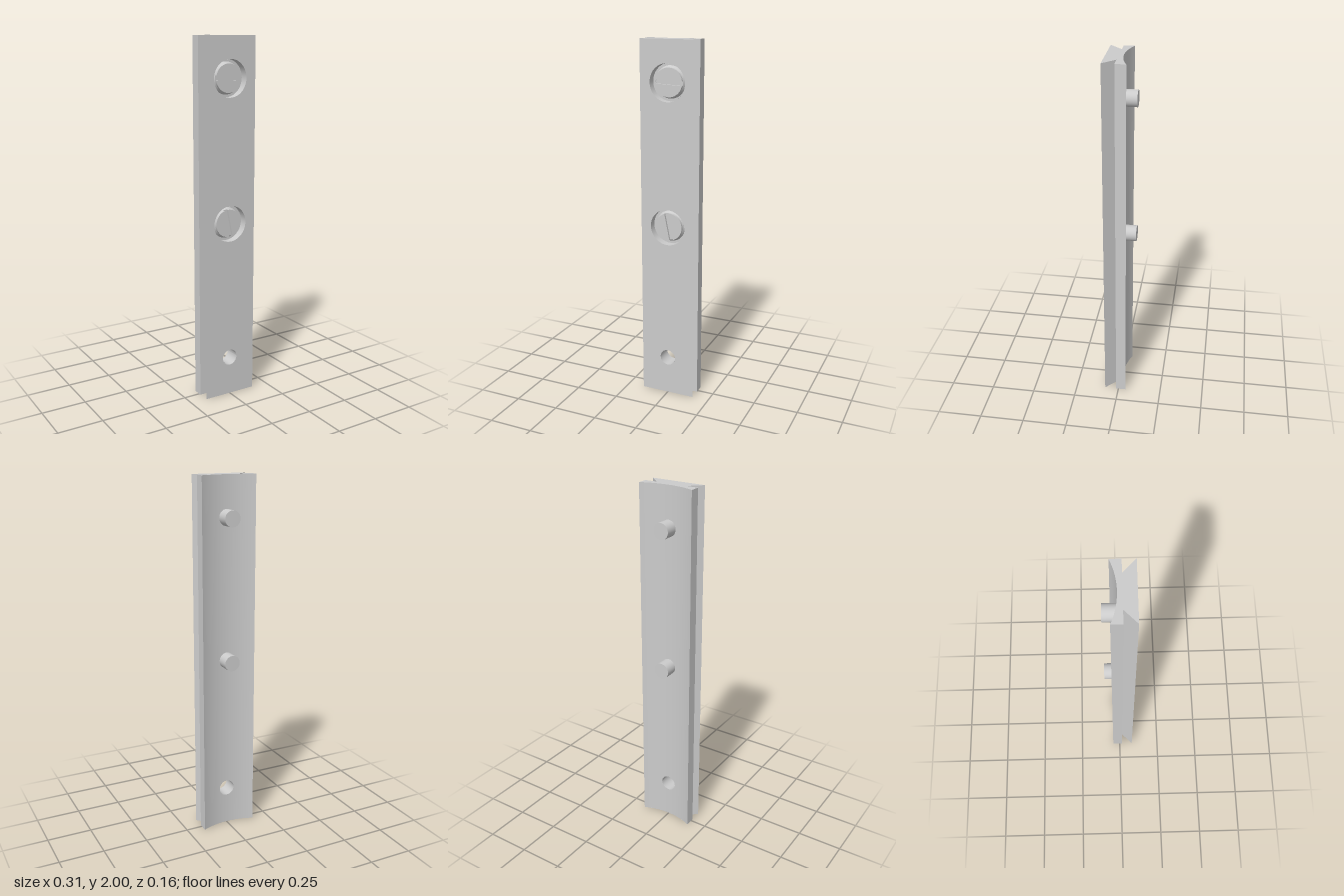
import * as THREE from 'three';

const HEIGHT = 2, HALF = 0.156, FRONT = 0.08, FLOOR = 0.035;
const ARC_R = 0.385, ARC_Z = -0.395;          // axis of the hollow back
const PIN_R = 0.044, HOLE_R = 0.045, BORE_R = 0.1;
const HOLE_Y = 0.22, PATCH = 0.07;
const backZ = (x) => ARC_Z + Math.sqrt(ARC_R * ARC_R - x * x);

const grey = new THREE.MeshStandardMaterial({ color: 0xcccccc, side: THREE.DoubleSide });

function add(parent, name, geometry) {
  const mesh = new THREE.Mesh(geometry, grey);
  mesh.name = name;
  parent.add(mesh);
  return mesh;
}

// Grid whose points follow f(u, v) -> [x, y, z], u and v in 0..1
function surface(f, nu, nv) {
  const g = new THREE.PlaneGeometry(1, 1, nu, nv);
  const p = g.attributes.position;
  for (let i = 0; i < p.count; i++) p.setXYZ(i, ...f(p.getX(i) + 0.5, p.getY(i) + 0.5));
  g.computeVertexNormals();
  return g;
}

// Piece of the hollow back, with exact cylinder normals
function backPiece(f, nu, nv) {
  const g = surface((u, v) => {
    const [x, y] = f(u, v);
    return [x, y, backZ(x)];
  }, nu, nv);
  const p = g.attributes.position;
  for (let i = 0; i < p.count; i++) {
    g.attributes.normal.setXYZ(i, -p.getX(i) / ARC_R, 0, (ARC_Z - p.getZ(i)) / ARC_R);
  }
  return g;
}

const backRect = (x0, x1, y0, y1) =>
  backPiece((u, v) => [x1 + (x0 - x1) * u, y0 + (y1 - y0) * v], 8, 1);

function circlePath(y, r) {
  return new THREE.Path().absarc(0, y, r, 0, Math.PI * 2, true);
}

function buildRail() {
  const rail = new THREE.Group();
  rail.name = 'dovetailRail';

  // Front face with two counterbores and one plain hole
  const face = new THREE.Shape([[-HALF, 0], [HALF, 0], [HALF, HEIGHT], [-HALF, HEIGHT]]
    .map(([x, y]) => new THREE.Vector2(x, y)));
  face.holes.push(circlePath(HOLE_Y, HOLE_R), circlePath(1, BORE_R), circlePath(1.78, BORE_R));
  add(rail, 'frontFace', new THREE.ShapeGeometry(face, 32)).position.z = FRONT;

  // Dovetail sides
  const side = [[HALF, FRONT], [0.088, 0.014], [HALF, 0.014], [HALF, backZ(HALF)]];
  for (const s of [1, -1]) {
    for (let i = 0; i < 3; i++) {
      const [a, b] = s > 0 ? [side[i], side[i + 1]] : [side[i + 1], side[i]];
      add(rail, 'dovetailSide', surface((u, v) => [
        s * (a[0] + (b[0] - a[0]) * u), v * HEIGHT, a[1] + (b[1] - a[1]) * u], 1, 1));
    }
  }

  // End caps
  const outline = side.map(([x, z]) => new THREE.Vector2(x, -z));
  for (let i = 1; i < 20; i++) {
    const x = HALF * (1 - i / 10);
    outline.push(new THREE.Vector2(x, -backZ(x)));
  }
  for (const [x, z] of [...side].reverse()) outline.push(new THREE.Vector2(-x, -z));
  for (const y of [0, HEIGHT]) {
    const cap = new THREE.ShapeGeometry(new THREE.Shape(outline));
    cap.rotateX(-Math.PI / 2);
    if (y === 0) cap.scale(1, -1, 1);
    add(rail, y ? 'topEnd' : 'bottomEnd', cap).position.y = y;
  }

  // Hollow back, laid around the plain hole
  add(rail, 'hollowBack', backRect(-HALF, -PATCH, 0, HEIGHT));
  add(rail, 'hollowBack', backRect(PATCH, HALF, 0, HEIGHT));
  add(rail, 'hollowBack', backRect(-PATCH, PATCH, 0, HOLE_Y - PATCH));
  add(rail, 'hollowBack', backRect(-PATCH, PATCH, HOLE_Y + PATCH, HEIGHT));
  add(rail, 'hollowBack', backPiece((u, v) => {
    const c = Math.cos(u * Math.PI * 2), s = Math.sin(u * Math.PI * 2);
    const r = HOLE_R + (PATCH / Math.max(Math.abs(c), Math.abs(s)) - HOLE_R) * v;
    return [c * r, HOLE_Y + s * r];
  }, 32, 2));

  // Wall of the plain hole
  add(rail, 'holeWall', surface((u, v) => {
    const a = u * Math.PI * 2, x = HOLE_R * Math.cos(a);
    return [x, HOLE_Y + HOLE_R * Math.sin(a), FRONT + (backZ(x) - FRONT) * v];
  }, 32, 1));
  return rail;
}

// Cylinder along z between two depths
function zCylinder(rBack, rFront, z0, z1, open = false) {
  return new THREE.CylinderGeometry(rFront, rBack, z1 - z0, 40, 1, open)
    .rotateX(Math.PI / 2).translate(0, 0, (z0 + z1) / 2);
}

function buildScrew(y, slotAngle) {
  const screw = new THREE.Group();
  screw.name = 'screw';
  screw.position.y = y;

  // Counterbore
  add(screw, 'counterboreWall', zCylinder(BORE_R, BORE_R, FLOOR, FRONT, true));
  add(screw, 'counterboreFloor', new THREE.RingGeometry(0.04, BORE_R, 40)).position.z = FLOOR;

  // Shank and chamfered head
  add(screw, 'shank', zCylinder(PIN_R, PIN_R, -0.083, FLOOR));
  add(screw, 'headBase', zCylinder(0.086, 0.076, FLOOR, 0.05));

  // Two raised halves leave the driver slot between them
  const r = 0.076, a = Math.asin(0.012 / r);
  const half = new THREE.Shape().absarc(0, 0, r, a, Math.PI - a, false);
  half.closePath();
  for (const turn of [0, Math.PI]) {
    const geometry = new THREE.ExtrudeGeometry(half, { depth: 0.013, bevelEnabled: false, curveSegments: 20 });
    const mesh = add(screw, 'headHalf', geometry);
    mesh.position.z = 0.05;
    mesh.rotation.z = slotAngle + turn;
  }
  return screw;
}

export function createModel() {
  const model = new THREE.Group();
  model.name = 'mountingRail';
  model.add(buildRail(), buildScrew(1.78, -0.05), buildScrew(1, Math.PI / 2 + 0.2));
  return model;
}
